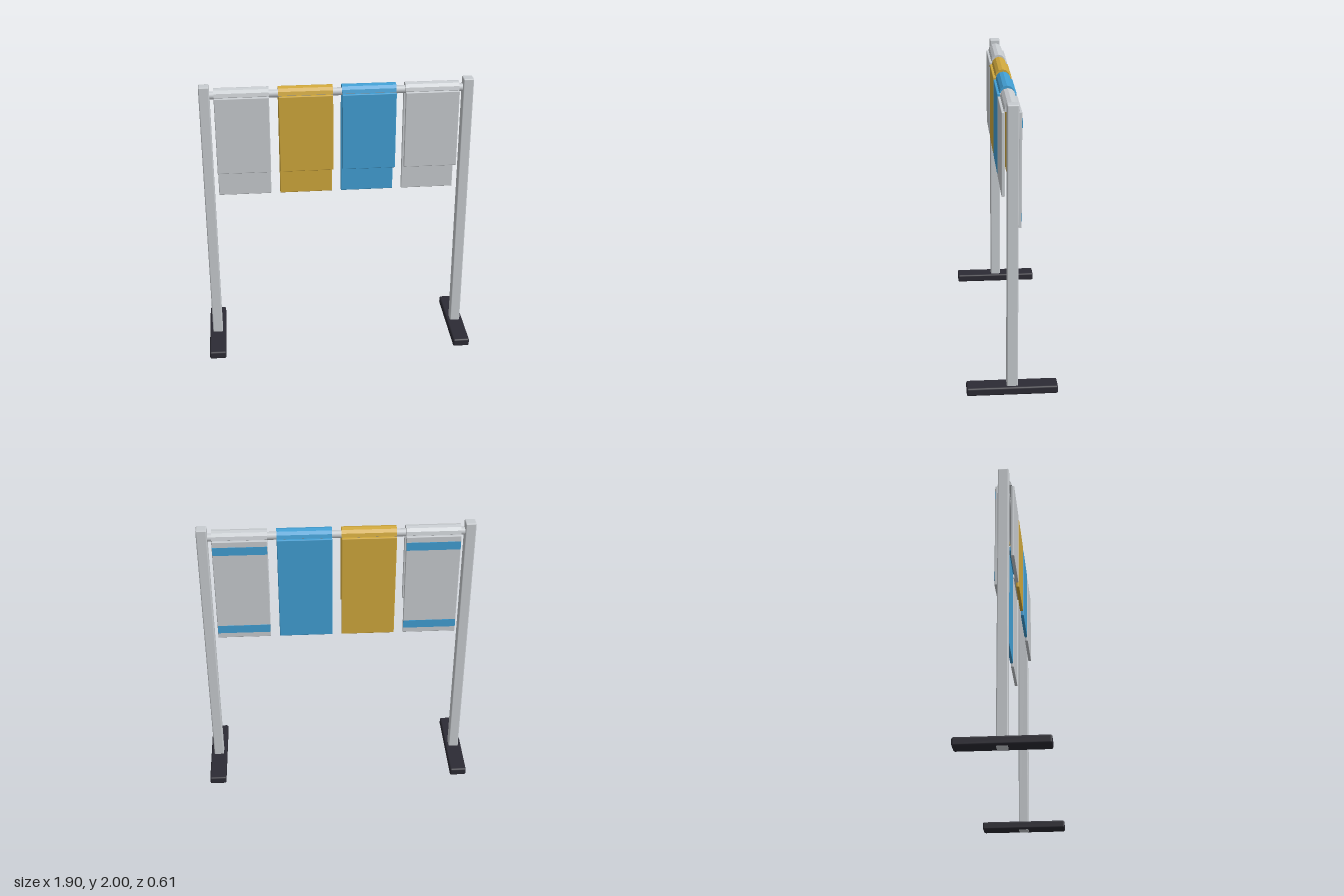
import * as THREE from 'three';
import { RoundedBoxGeometry } from 'three/addons/geometries/RoundedBoxGeometry.js';

const material = (name, color) => {
  const m = new THREE.MeshStandardMaterial({ color });
  m.name = name;
  return m;
};

export function createModel() {
  const silver = material('silver', 0xc8ccd0);
  const gold = material('gold', 0xd0a83c);
  const blue = material('blue', 0x429fd4);
  const black = material('black', 0x2c2b34);

  const model = new THREE.Group();
  model.name = 'hangingRack';

  const add = (parent, name, geometry, mat, x = 0, y = 0, z = 0) => {
    const mesh = new THREE.Mesh(geometry, mat);
    mesh.name = name;
    mesh.position.set(x, y, z);
    parent.add(mesh);
    return mesh;
  };
  // Box with softened edges, placed by its bottom and top heights
  const slab = (parent, name, mat, w, bottom, top, d, x, z, r) =>
    add(parent, name, new RoundedBoxGeometry(w, top - bottom, d, 2, r), mat, x, (bottom + top) / 2, z);

  // Posts and feet
  for (const [side, s] of [['left', 1], ['right', -1]]) {
    slab(model, side + 'Post', silver, 0.072, 0, 2, 0.074, s * 0.893, 0, 0.008);
    slab(model, side + 'Foot', black, 0.118, 0.005, 0.062, 0.61, s * 0.893, 0, 0.012);
  }

  // Crossbar
  const barY = 1.93;
  const bar = new THREE.CylinderGeometry(0.027, 0.027, 1.76, 16);
  bar.rotateZ(Math.PI / 2);
  add(model, 'crossbar', bar, silver, 0, barY, 0);

  // Half-ring fold that wraps over the bar
  const width = 0.368;
  const arc = (r, i) => new THREE.Vector2(r * Math.cos(i * Math.PI / 6), r * Math.sin(i * Math.PI / 6));
  const ring = [];
  for (let i = 0; i <= 6; i++) ring.push(arc(0.05, i));
  for (let i = 6; i >= 0; i--) ring.push(arc(0.03, i));
  const fold = new THREE.ExtrudeGeometry(new THREE.Shape(ring), { depth: width, bevelEnabled: false });
  fold.translate(0, 0, -width / 2);
  fold.rotateY(Math.PI / 2);

  // Four draped panels: short in front, long behind
  const drapes = [
    ['farRight', -0.645, silver], ['innerRight', -0.215, gold],
    ['innerLeft', 0.215, blue], ['farLeft', 0.645, silver],
  ];
  for (const [name, x, mat] of drapes) {
    const drape = new THREE.Group();
    drape.name = name + 'Drape';
    drape.position.x = x;
    model.add(drape);
    add(drape, 'topFold', fold, mat, 0, barY, 0);
    slab(drape, 'frontPanel', mat, width, 1.375, 1.927, 0.022, 0, 0.055, 0.005);
    slab(drape, 'backPanel', mat, width, 1.16, 1.927, 0.022, 0, -0.053, 0.005);
    // Stripes across the back of the outer panels
    if (mat === silver) {
      for (const y of [1.23, 1.855]) {
        add(drape, 'stripe', new THREE.BoxGeometry(width - 0.004, 0.06, 0.004), blue, 0, y, -0.0645);
      }
    }
  }
  return model;
}
